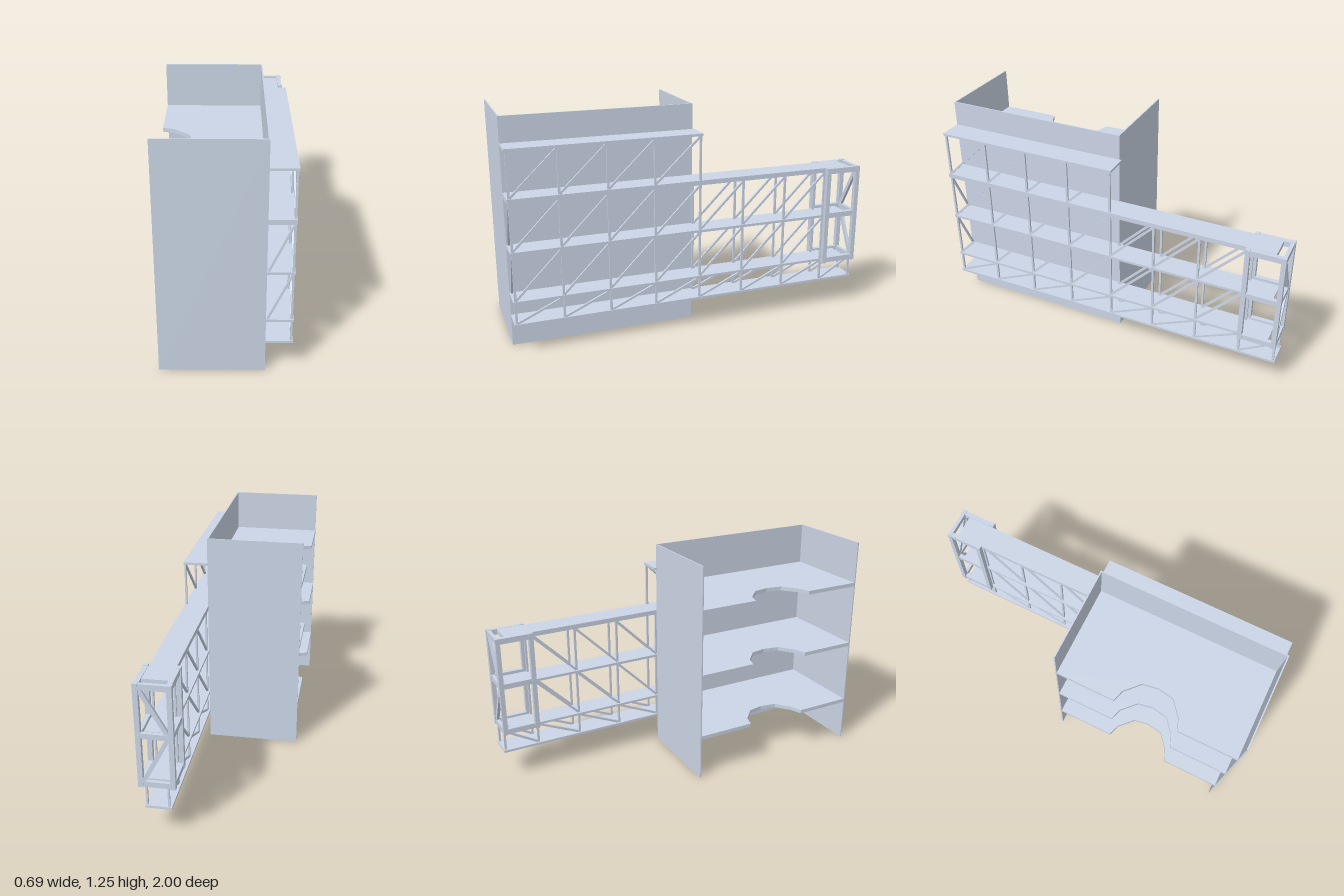
import * as THREE from 'three';

export function createModel() {
  const model = new THREE.Group();
  const steel = new THREE.MeshStandardMaterial({ color: 0xcbd5e6 });
  steel.name = 'light blue grey steel';

  const group = (name) => {
    const g = new THREE.Group();
    g.name = name;
    model.add(g);
    return g;
  };

  // Box given by its limits on each axis
  const box = (parent, name, x0, x1, y0, y1, z0, z1) => {
    const m = new THREE.Mesh(new THREE.BoxGeometry(x1 - x0, y1 - y0, z1 - z0), steel);
    m.position.set((x0 + x1) / 2, (y0 + y1) / 2, (z0 + z1) / 2);
    m.name = name;
    parent.add(m);
  };

  // Rectangular bar between two points
  const bar = (parent, name, a, b, width = 0.01, depth = 0.012) => {
    const p = new THREE.Vector3(...a), q = new THREE.Vector3(...b);
    const m = new THREE.Mesh(new THREE.BoxGeometry(width, p.distanceTo(q), depth), steel);
    m.position.copy(p).add(q).multiplyScalar(0.5);
    m.quaternion.setFromUnitVectors(new THREE.Vector3(0, 1, 0), q.sub(p).normalize());
    m.name = name;
    parent.add(m);
  };

  // Three-sided enclosure, open towards -x
  const walls = group('walls');
  box(walls, 'frontWall', -0.345, 0.18, 0, 1.247, 0.993, 1);
  box(walls, 'backWall', -0.345, 0.18, 0, 1.247, -0.03, -0.023);
  box(walls, 'longWall', 0.173, 0.18, 0, 1.247, -0.023, 0.993);

  // Floors with a scalloped notch in the open edge
  const floors = group('floors');
  const outline = [
    [-0.345, -0.023], [0.173, -0.023], [0.173, 0.993], [-0.345, 0.993],
    [-0.345, 0.665], [-0.28, 0.64], [-0.2, 0.575], [-0.185, 0.485],
    [-0.2, 0.4], [-0.28, 0.325], [-0.345, 0.305],
  ].map(([x, z]) => new THREE.Vector2(x, z));
  const floorGeometry = new THREE.ExtrudeGeometry(new THREE.Shape(outline), { depth: 0.022, bevelEnabled: false });
  floorGeometry.rotateX(Math.PI / 2);
  for (const y of [0.264, 0.637, 1.01]) {
    const floor = new THREE.Mesh(floorGeometry, steel);
    floor.position.y = y;
    floor.name = 'floor';
    floors.add(floor);
  }

  // Walkway decks: bottom, top, rear end
  const decks = [
    [0.165, 0.178, -1],
    [0.292, 0.305, -0.95],
    [0.56, 0.574, -0.95],
    [0.828, 0.854, -0.943],
    [1.096, 1.109, -0.042],
  ];
  const walkway = group('walkways');
  for (const [y0, y1, end] of decks) box(walkway, 'deck', 0.178, 0.313, y0, y1, end, 1);

  // Posts and diagonals along both sides of each tier
  const truss = group('truss');
  const stations = [0.988, 0.735, 0.48, 0.225, -0.03, -0.285, -0.54, -0.793, -0.988];
  const outer = 0.304, inner = 0.194;
  const lastStation = [8, 7, 7, 4];
  lastStation.forEach((last, tier) => {
    const y0 = decks[tier][1], y1 = decks[tier + 1][0];
    for (const x of [outer, inner]) {
      // the inner side is braced only where the walkway is free of the wall
      const first = x === outer ? 0 : 4;
      if (first >= last) continue;
      for (let i = first; i <= last; i++) {
        bar(truss, 'post', [x, y0, stations[i]], [x, y1, stations[i]]);
        if (i < last) bar(truss, 'diagonal', [x, y0, stations[i]], [x, y1, stations[i + 1]]);
      }
    }
  });

  // Cross braces at the front end
  for (const tier of [1, 2]) {
    bar(truss, 'endBrace', [0.188, decks[tier][1], 0.988], [outer, decks[tier + 1][0], 0.988]);
  }

  // End tower: corner posts, rings of rails and rear braces
  const tower = group('endTower');
  for (const x of [0.155, 0.317]) {
    for (const z of [-0.815, -1]) {
      box(tower, 'towerPost', x, x + 0.026, 0.284, 0.856, z, z + 0.025);
    }
  }
  for (const [y0, y1] of [[0.287, 0.317], [0.56, 0.59], [0.823, 0.854]]) {
    for (const x of [0.158, 0.315]) box(tower, 'sideRail', x, x + 0.025, y0, y1, -0.975, -0.815);
    box(tower, 'rearRail', 0.181, 0.317, y0, y1, -0.998, -0.978);
  }
  bar(tower, 'rearBrace', [0.184, 0.585, -0.988], [0.316, 0.825, -0.988], 0.022, 0.016);
  bar(tower, 'rearBrace', [0.184, 0.566, -0.988], [0.316, 0.312, -0.988], 0.022, 0.016);

  return model;
}
